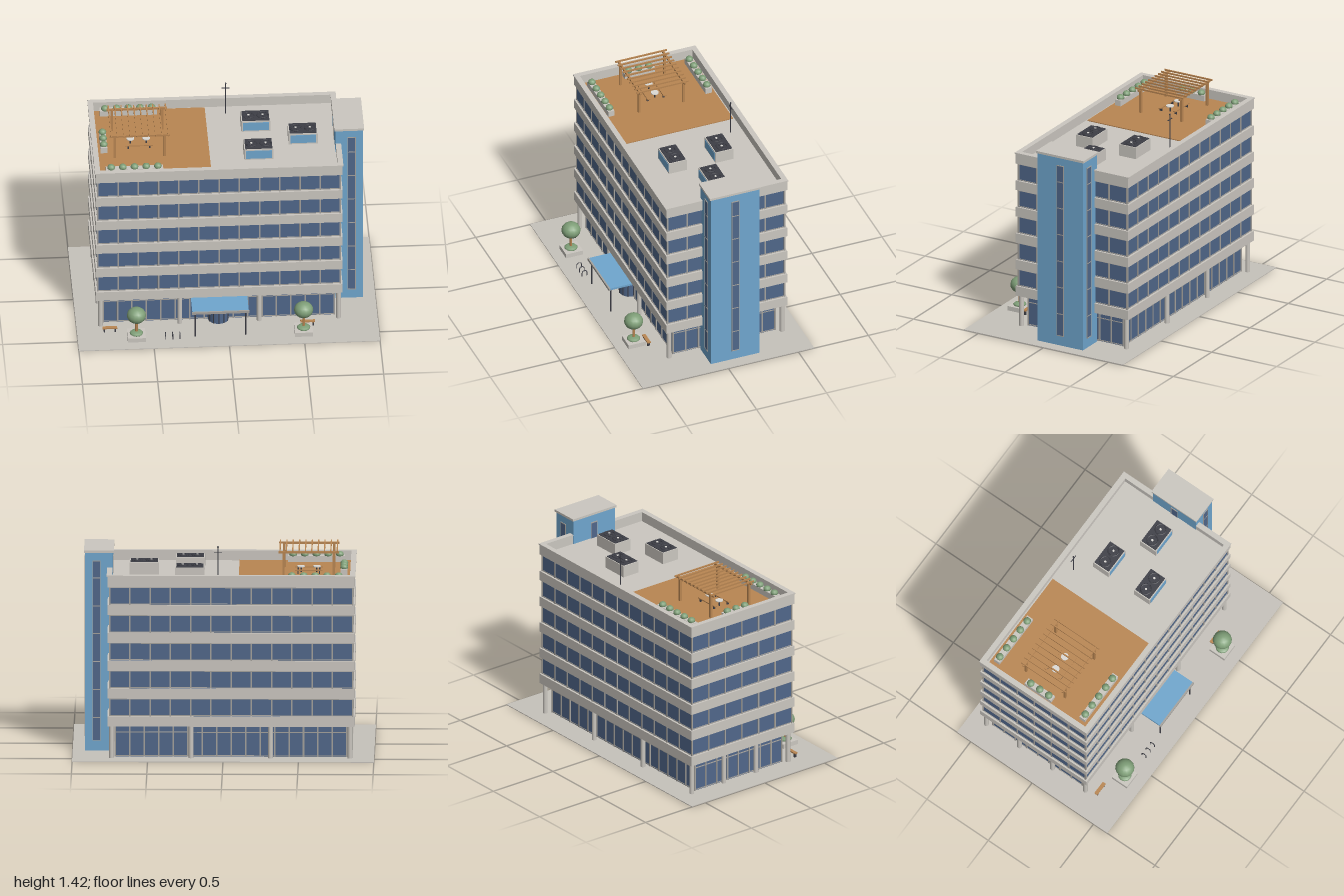
import * as THREE from 'three';

const mat = (name, color) => {
  const m = new THREE.MeshStandardMaterial({ color });
  m.name = name;
  return m;
};

export function createModel() {
  const concrete = mat('concrete', 0xcbc7c0);
  const paving = mat('paving', 0xc6c2bb);
  const glass = mat('glass', 0x50678a);
  const blue = mat('blueCladding', 0x6fa6ce);
  const wood = mat('wood', 0xb98652);
  const dark = mat('darkMetal', 0x3d3e46);
  const frame = mat('windowFrame', 0xa5a29d);
  const leaf = mat('foliage', 0x7f9f78);
  const white = mat('tableTop', 0xdcdad5);
  const model = new THREE.Group();
  model.name = 'officeBuilding';

  const add = (name, geo, material, x, y, z, parent = model) => {
    const m = new THREE.Mesh(geo, material);
    m.name = name;
    m.position.set(x, y, z);
    parent.add(m);
    return m;
  };
  // box given by its limits on each axis
  const box = (name, material, x0, x1, y0, y1, z0, z1, parent) =>
    add(name, new THREE.BoxGeometry(x1 - x0, y1 - y0, z1 - z0), material,
      (x0 + x1) / 2, (y0 + y1) / 2, (z0 + z1) / 2, parent);
  const cyl = (name, material, r, y0, y1, x, z, sides = 12, parent) =>
    add(name, new THREE.CylinderGeometry(r, r, y1 - y0, sides), material, x, (y0 + y1) / 2, z, parent);
  const group = (name) => {
    const g = new THREE.Group();
    g.name = name;
    model.add(g);
    return g;
  };
  // four walls forming a hollow rectangle
  const ring = (name, material, x0, x1, y0, y1, z0, z1, t, parent) => {
    box(name, material, x0, x1, y0, y1, z1 - t, z1, parent);
    box(name, material, x0, x1, y0, y1, z0, z0 + t, parent);
    box(name, material, x0, x0 + t, y0, y1, z0 + t, z1 - t, parent);
    box(name, material, x1 - t, x1, y0, y1, z0 + t, z1 - t, parent);
  };
  // glazed storey with mullions on all sides and horizontal rails
  const storey = (name, x0, x1, y0, y1, z0, z1, nx, nz, rails) => {
    const g = group(name);
    const p = 0.005, w = 0.005;
    box('glazing', glass, x0, x1, y0, y1, z0, z1, g);
    for (let i = 0; i <= nx; i++) {
      const x = x0 + (x1 - x0) * i / nx;
      for (const z of [z0, z1]) box('mullion', frame, x - w, x + w, y0, y1, z - p, z + p, g);
    }
    for (let i = 1; i < nz; i++) {
      const z = z0 + (z1 - z0) * i / nz;
      for (const x of [x0, x1]) box('mullion', frame, x - p, x + p, y0, y1, z - w, z + w, g);
    }
    for (const y of rails) box('rail', frame, x0 - 0.003, x1 + 0.003, y - 0.003, y + 0.003, z0 - 0.003, z1 + 0.003, g);
  };

  // plaza
  box('plaza', paving, -1, 1, 0, 0.005, -0.612, 0.612);

  // ground floor and its columns
  storey('groundFloor', -0.82, 0.715, 0.005, 0.222, -0.447, 0.282, 16, 8, [0.012, 0.17]);
  for (let i = 0; i < 4; i++) for (let j = 0; j < 4; j++) {
    if (i % 3 && j % 3) continue;
    cyl('column', concrete, 0.016, 0.005, 0.222, -0.84 + i * 0.527, -0.487 + j * 0.269);
  }

  // upper floors: concrete bands alternating with window strips
  for (let i = 0; i < 5; i++) {
    const y = 0.221 + i * 0.1885;
    box('floorBand', concrete, -0.872, 0.767, y, y + 0.068, -0.515, 0.35);
    storey('upperFloor', -0.858, 0.753, y + 0.068, y + 0.1885, -0.5, 0.335, 12, 6, [y + 0.073, y + 0.1845]);
  }

  // roof, parapet and coping
  box('roof', concrete, -0.85, 0.745, 1.1635, 1.175, -0.49, 0.325);
  ring('parapet', concrete, -0.872, 0.767, 1.1635, 1.235, -0.515, 0.35, 0.028);
  ring('coping', concrete, -0.877, 0.772, 1.235, 1.243, -0.52, 0.355, 0.036);

  // stair tower with narrow window strips
  const tower = group('stairTower');
  box('towerShaft', blue, 0.735, 0.918, 0.005, 1.345, -0.256, 0.092, tower);
  box('towerCap', concrete, 0.727, 0.925, 1.345, 1.361, -0.265, 0.101, tower);
  const railYs = [0.075, 0.23, 0.42, 0.607, 0.797, 0.985, 1.172, 1.288];
  const strip = (x, z, alongX) => {
    const slab = (name, m, half, t, y0, y1) => alongX
      ? box(name, m, x - half, x + half, y0, y1, z - t, z + t, tower)
      : box(name, m, x - t, x + t, y0, y1, z - half, z + half, tower);
    slab('towerWindow', glass, 0.024, 0.003, 0.072, 1.29);
    for (const y of railYs) slab('towerWindowRail', frame, 0.027, 0.0045, y - 0.003, y + 0.003);
    for (const s of [-1, 1]) {
      if (alongX) box('towerWindowJamb', frame, x + s * 0.025 - 0.002, x + s * 0.025 + 0.002, 0.072, 1.29, z - 0.0045, z + 0.0045, tower);
      else box('towerWindowJamb', frame, x - 0.0045, x + 0.0045, 0.072, 1.29, z + s * 0.025 - 0.002, z + s * 0.025 + 0.002, tower);
    }
  };
  strip(0.842, 0.092, true);
  strip(0.842, -0.256, true);
  strip(0.918, -0.083, false);
  strip(0.735, -0.083, false);

  // revolving door and canopy
  const entrance = group('entrance');
  cyl('revolvingDoor', glass, 0.069, 0.005, 0.15, -0.055, 0.282, 24, entrance);
  cyl('doorRim', frame, 0.073, 0.15, 0.168, -0.055, 0.282, 24, entrance);
  for (let i = 0; i <= 6; i++) {
    const a = Math.PI * i / 6;
    cyl('doorPost', dark, 0.003, 0.005, 0.15, -0.055 + 0.07 * Math.cos(a), 0.282 + 0.07 * Math.sin(a), 6, entrance);
  }
  box('canopy', blue, -0.24, 0.135, 0.192, 0.206, 0.28, 0.495, entrance);
  box('canopyFascia', frame, -0.243, 0.138, 0.19, 0.207, 0.495, 0.506, entrance);
  for (const x of [-0.22, 0.115]) cyl('canopyPost', dark, 0.005, 0.005, 0.192, x, 0.485, 8, entrance);

  // street trees in square planters
  for (const x of [-0.61, 0.5]) {
    const tree = group('tree');
    box('treePlanter', concrete, x - 0.06, x + 0.06, 0.005, 0.036, 0.413, 0.535, tree);
    add('groundCover', new THREE.SphereGeometry(0.045, 12, 6), leaf, x, 0.042, 0.476, tree).scale.y = 0.32;
    cyl('trunk', wood, 0.009, 0.036, 0.15, x, 0.476, 8, tree);
    add('crown', new THREE.SphereGeometry(0.064, 14, 10), leaf, x, 0.182, 0.476, tree).scale.y = 0.86;
  }

  // street benches
  for (const x of [-0.782, 0.532]) {
    const bench = group('streetBench');
    box('benchSeat', wood, x - 0.049, x + 0.049, 0.032, 0.04, 0.385, 0.409, bench);
    for (const s of [-0.036, 0.036]) box('benchLeg', dark, x + s - 0.004, x + s + 0.004, 0.005, 0.032, 0.388, 0.406, bench);
  }

  // bicycle hoops
  for (const x of [-0.418, -0.37, -0.323]) {
    const rack = group('bicycleHoop');
    add('hoopTop', new THREE.TorusGeometry(0.017, 0.003, 6, 12, Math.PI), dark, x, 0.03, 0.495, rack).rotation.y = Math.PI / 2;
    for (const s of [-1, 1]) cyl('hoopLeg', dark, 0.003, 0.005, 0.03, x, 0.495 + s * 0.017, 6, rack);
  }

  // roof terrace deck
  box('deck', wood, -0.837, -0.1, 1.175, 1.181, -0.477, 0.31);

  // planter troughs with shrubs
  const shrub = (x, z) => add('shrub', new THREE.SphereGeometry(0.026, 10, 8), leaf, x, 1.229, z).scale.y = 0.85;
  for (const z of [-0.432, 0.264]) {
    box('planterTrough', concrete, -0.8, -0.42, 1.181, 1.222, z - 0.022, z + 0.022);
    for (let i = 0; i < 5; i++) shrub(-0.765 + i * 0.0775, z);
  }
  box('planterTrough', concrete, -0.82, -0.776, 1.181, 1.222, -0.19, 0.024);
  for (let i = 0; i < 3; i++) shrub(-0.798, -0.156 + i * 0.073);

  // pergola
  const pergola = group('pergola');
  for (const z of [-0.241, 0.075]) {
    for (const x of [-0.73, -0.397]) box('pergolaPost', wood, x - 0.008, x + 0.008, 1.181, 1.343, z - 0.008, z + 0.008, pergola);
    box('pergolaBeam', wood, -0.765, -0.363, 1.34, 1.354, z - 0.006, z + 0.006, pergola);
  }
  for (let i = 0; i < 10; i++) {
    const x = -0.753 + i * 0.0421;
    box('pergolaSlat', wood, x - 0.004, x + 0.004, 1.352, 1.363, -0.267, 0.101, pergola);
  }

  // terrace tables and benches
  for (const x of [-0.617, -0.512]) {
    cyl('tableLeg', dark, 0.005, 1.181, 1.217, x, -0.083, 8);
    cyl('tableTop', white, 0.026, 1.217, 1.223, x, -0.083, 16);
  }
  for (const z of [-0.14, -0.026]) {
    box('terraceBench', wood, -0.655, -0.472, 1.2, 1.207, z - 0.01, z + 0.01);
    for (const x of [-0.635, -0.492]) box('terraceBenchLeg', dark, x - 0.004, x + 0.004, 1.181, 1.2, z - 0.008, z + 0.008);
  }

  // rooftop air units with twin fans
  for (const [x, z] of [[0.223, -0.246], [0.223, 0.086], [0.527, -0.08]]) {
    const unit = group('airUnit');
    box('unitBody', concrete, x - 0.097, x + 0.097, 1.175, 1.256, z - 0.064, z + 0.064, unit);
    box('unitPanel', blue, x - 0.085, x + 0.085, 1.185, 1.246, z + 0.062, z + 0.067, unit);
    box('unitTop', dark, x - 0.09, x + 0.09, 1.254, 1.26, z - 0.058, z + 0.058, unit);
    for (const s of [-0.047, 0.047]) {
      add('fanRing', new THREE.TorusGeometry(0.036, 0.004, 6, 20), dark, x + s, 1.262, z, unit).rotation.x = Math.PI / 2;
      for (const a of [0.4, 0.4 + Math.PI / 2]) add('fanBlade', new THREE.BoxGeometry(0.064, 0.003, 0.012), dark, x + s, 1.263, z, unit).rotation.y = a;
      cyl('fanHub', white, 0.008, 1.26, 1.268, x + s, z, 10, unit);
    }
  }

  // antenna mast
  const mast = group('antenna');
  cyl('mastPole', dark, 0.004, 1.175, 1.415, 0.035, -0.405, 8, mast);
  add('mastTip', new THREE.SphereGeometry(0.006, 8, 6), dark, 0.035, 1.415, -0.405, mast);
  box('mastCrossbar', dark, 0.008, 0.062, 1.377, 1.382, -0.4075, -0.4025, mast);

  return model;
}
